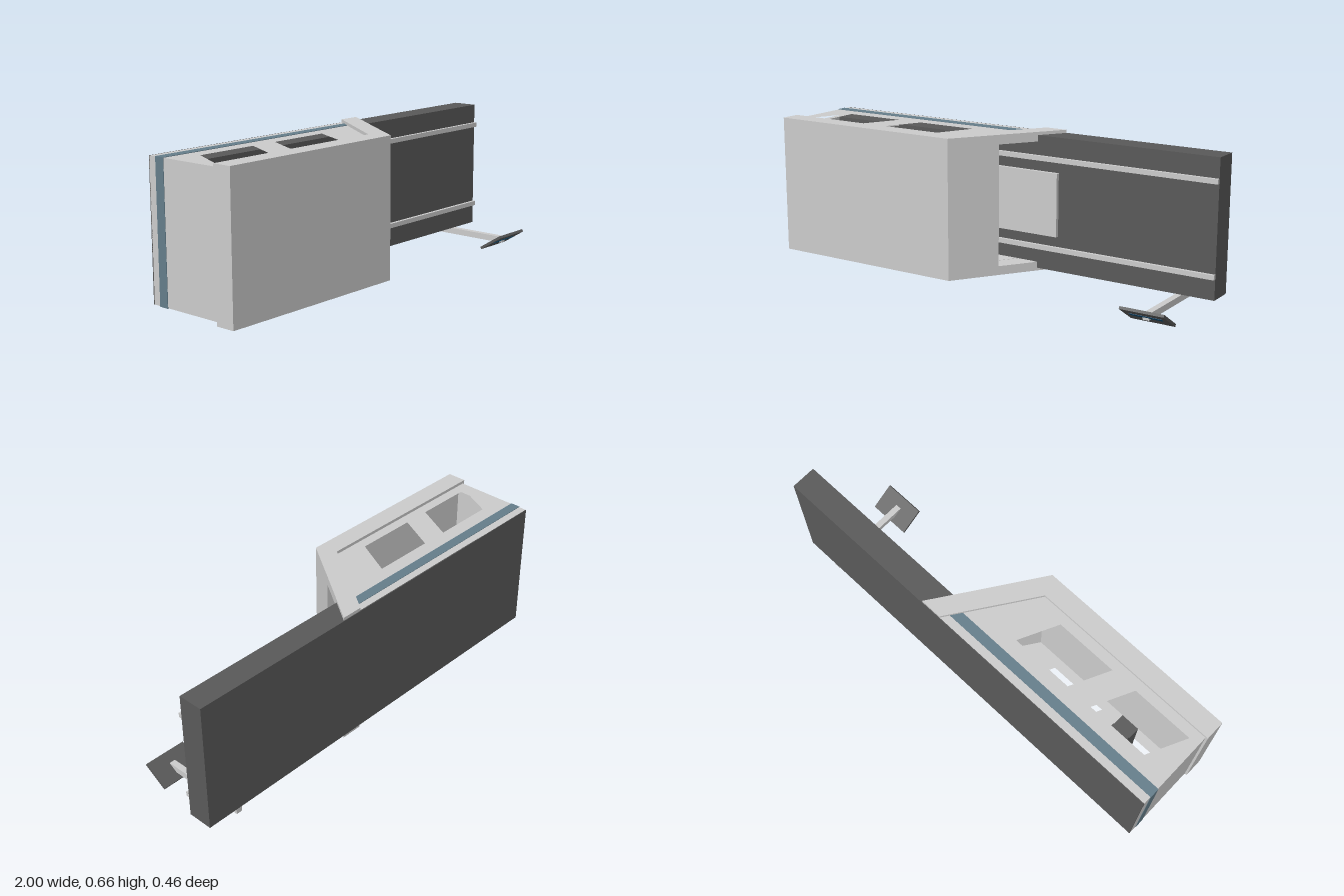
import * as THREE from 'three';

const mat = (color) => new THREE.MeshStandardMaterial({ color });

export function createModel() {
  const root = new THREE.Group();
  const grey = mat(0xcccccc), dark = mat(0x595959), yellow = mat(0xf0f028);
  const blue = mat(0x647d8a), screenBlue = mat(0x0a4f78);

  const add = (name, geometry, material, parent = root) => {
    const mesh = new THREE.Mesh(geometry, material);
    mesh.name = name;
    parent.add(mesh);
    return mesh;
  };
  // Box given by its limits on each axis
  const box = (name, [x0, x1], [y0, y1], [z0, z1], material, parent) => {
    const mesh = add(name, new THREE.BoxGeometry(x1 - x0, y1 - y0, z1 - z0), material, parent);
    mesh.position.set((x0 + x1) / 2, (y0 + y1) / 2, (z0 + z1) / 2);
    return mesh;
  };
  // Plan outline of [x, z] points raised from y0 to y1
  const toPoints = (list) => list.map(([x, z]) => new THREE.Vector2(x, -z));
  const slab = (name, outline, y0, y1, material, holes = []) => {
    const shape = new THREE.Shape(toPoints(outline));
    holes.forEach((h) => shape.holes.push(new THREE.Path(toPoints(h))));
    const g = new THREE.ExtrudeGeometry(shape, { depth: y1 - y0, bevelEnabled: false });
    g.rotateX(-Math.PI / 2);
    g.translate(0, y0, 0);
    return add(name, g, material);
  };

  // Slanted faces of the end frame: x at a given z
  const outer = (z) => -0.08 + (0.226 - z) * 0.684;
  const inner = (z) => -0.12 + (0.14 - z) * 0.683;
  const back = -0.226;

  // Front panel with the solid part of the slanted frame
  slab('frontPanel', [[-1, 0.228], [-0.08, 0.228], [outer(0.035), 0.035],
    [inner(0.035), 0.035], [-0.12, 0.14], [-1, 0.14]], 0.045, 0.667, grey);
  // Bars above and below the frame opening
  const bar = [[outer(0.035), 0.035], [outer(back), back], [inner(back), back], [inner(0.035), 0.035]];
  slab('frameTopBar', bar, 0.625, 0.667, grey);
  slab('frameBottomBar', bar, 0.045, 0.085, grey);

  // Housing roof and floor, each with two slanted windows
  const plan = [[-0.99, back], [inner(back), back], [-0.12, 0.14], [-0.99, 0.14]];
  const windowAt = (x) => [[x, -0.08], [x + 0.285, -0.08], [x + 0.2, 0.095], [x - 0.085, 0.095]];
  const windows = [windowAt(-0.86), windowAt(-0.45)];
  slab('housingRoof', plan, 0.625, 0.653, grey, windows);
  slab('housingFloor', plan, 0.058, 0.086, grey, windows);
  box('housingEndWall', [-0.99, -0.96], [0.086, 0.625], [back, 0.14], grey);

  // Coloured band around roof, end and floor
  const bandEnd = [[-0.99, -0.19], [inner(-0.19), -0.19], [inner(-0.145), -0.145], [-0.99, -0.145]];
  slab('roofBand', bandEnd, 0.653, 0.655, blue);
  slab('floorBand', bandEnd, 0.056, 0.058, blue);
  box('endBand', [-0.992, -0.99], [0.056, 0.655], [-0.19, -0.145], blue);

  // Back wall: outer sheet, part inside the housing, exposed part
  box('backSheet', [-0.99, 1], [0.058, 0.653], [-0.229, -0.224], dark);
  box('innerWall', [-0.96, 0.14], [0.086, 0.625], [-0.226, -0.115], dark);
  box('exposedWall', [0.14, 1], [0.058, 0.653], [-0.226, -0.115], dark);

  // Rails and flat plate on the wall
  for (const y of [0.148, 0.545]) box('rail', [-0.96, 1], [y, y + 0.021], [-0.115, -0.1], grey);
  box('wallPlate', [-0.1, 0.26], [0.216, 0.498], [-0.115, -0.098], grey);

  // Carriage riding on the rails
  const carriage = new THREE.Group();
  carriage.name = 'carriage';
  root.add(carriage);
  box('carriageBody', [-0.76, -0.675], [0.172, 0.54], [-0.085, 0.014], dark, carriage);
  for (const y of [0.143, 0.54]) box('carriageFoot', [-0.76, -0.675], [y, y + 0.028], [-0.115, -0.044], dark, carriage);
  box('carriageArm', [-0.675, -0.647], [0.343, 0.37], [-0.1, 0.035], grey, carriage);

  // Star of eight prongs opening towards the front
  const star = new THREE.Group();
  star.name = 'star';
  star.position.set(-0.545, 0.355, -0.098);
  root.add(star);
  for (let i = 0; i < 8; i++) {
    const prong = new THREE.Group();
    prong.name = 'prong';
    prong.rotation.z = (i * Math.PI) / 4;
    star.add(prong);
    const spoke = new THREE.CylinderGeometry(0.016, 0.001, 0.098, 4);
    spoke.rotateY(Math.PI / 4);
    const mesh = add('spoke', spoke, yellow, prong);
    mesh.position.set(0.045, 0, 0.017);
    mesh.quaternion.setFromUnitVectors(new THREE.Vector3(0, 1, 0), new THREE.Vector3(0.09, 0, 0.034).normalize());
    box('prongTip', [0.082, 0.1], [-0.013, 0.013], [0.028, 0.042], yellow, prong);
  }

  // Arm and tilted console below the open end
  box('consoleArm', [0.827, 0.855], [0.03, 0.058], [-0.226, 0.18], grey);
  const console_ = new THREE.Group();
  console_.name = 'console';
  console_.position.set(0.843, 0.0435, 0.171);
  console_.rotation.x = -Math.atan2(0.072, 0.113);
  root.add(console_);
  box('consoleBoard', [-0.098, 0.098], [-0.006, 0.006], [-0.064, 0.064], dark, console_);
  box('consoleScreen', [-0.072, 0.072], [-0.0075, -0.006], [-0.002, 0.022], screenBlue, console_);

  return root;
}
